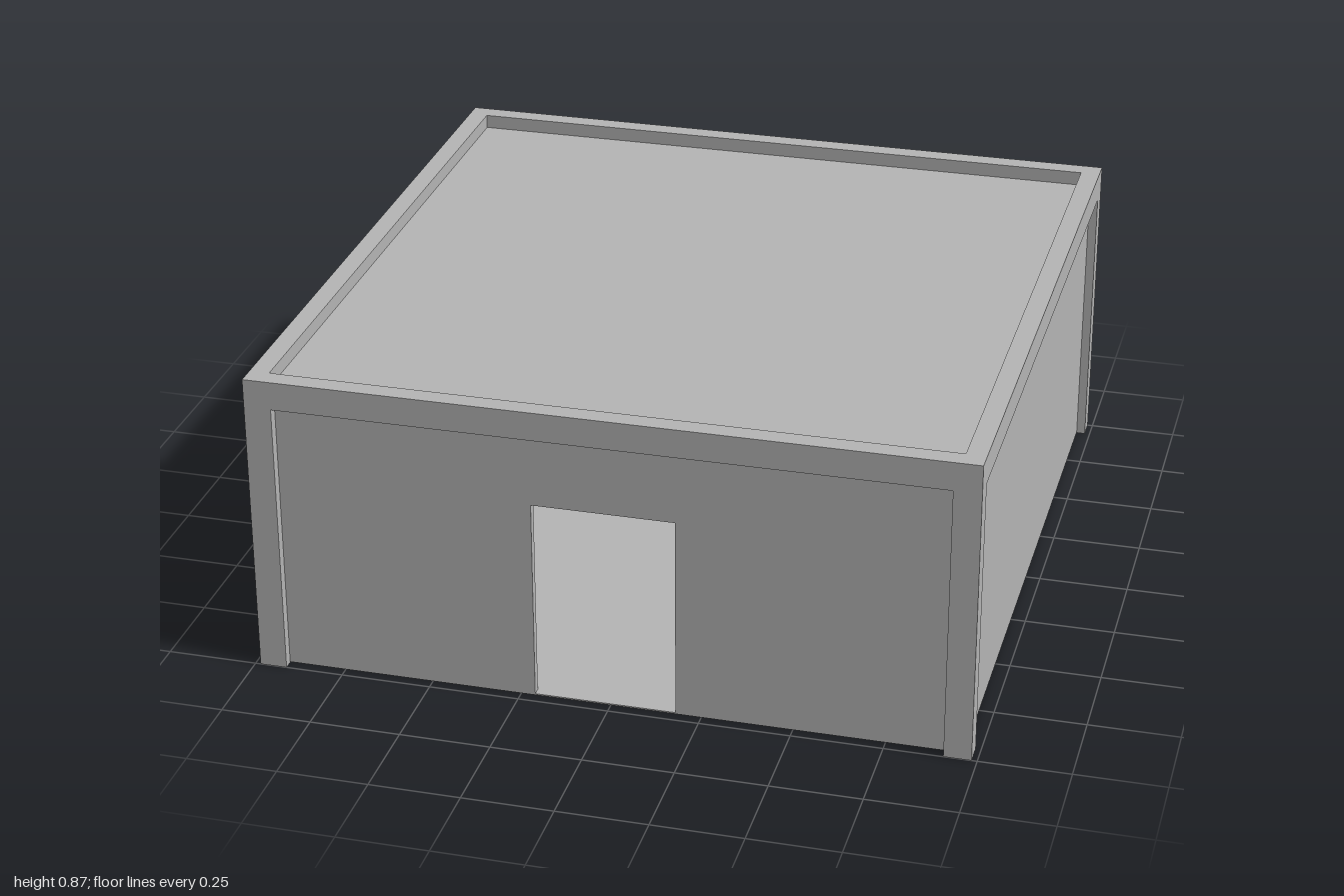
import * as THREE from 'three';

const HX = 0.985, HZ = 1, TOP = 0.865;   // outer half sizes and height
const BEAM_Y = 0.785;                    // underside of the ring beam
const WX = 0.96, WZ = 0.972;             // outer faces of the recessed walls
const T = 0.024;                         // wall thickness
const FLOOR = 0.006;

export function createModel() {
  const group = new THREE.Group();
  const concrete = new THREE.MeshStandardMaterial({ color: 0xb4b4b4 });
  concrete.name = 'concrete grey';

  const add = (name, geometry) => {
    const mesh = new THREE.Mesh(geometry, concrete);
    mesh.name = name;
    group.add(mesh);
    return mesh;
  };
  // Box given by its lower and upper corners
  const box = (name, x0, x1, y0, y1, z0, z1) =>
    add(name, new THREE.BoxGeometry(x1 - x0, y1 - y0, z1 - z0)
      .translate((x0 + x1) / 2, (y0 + y1) / 2, (z0 + z1) / 2));
  const rect = (path, x, z) =>
    path.moveTo(-x, -z).lineTo(x, -z).lineTo(x, z).lineTo(-x, z).closePath();

  // Floor and sunken flat roof
  box('floor', -WX, WX, 0.002, FLOOR, -WZ, WZ);
  box('roof', -0.93, 0.93, 0.819, 0.825, -0.945, 0.945);

  // Ring beam that also forms the parapet
  const ring = rect(new THREE.Shape(), HX, HZ);
  ring.holes.push(rect(new THREE.Path(), 0.93, 0.945));
  add('ringBeam', new THREE.ExtrudeGeometry(ring, { depth: TOP - BEAM_Y, bevelEnabled: false })
    .rotateX(-Math.PI / 2).translate(0, BEAM_Y, 0));

  // Corner pillars
  for (const sx of [-1, 1]) for (const sz of [-1, 1]) {
    const pillar = add('cornerPillar', new THREE.BoxGeometry(0.075, BEAM_Y, 0.06));
    pillar.position.set(sx * (HX - 0.0375), BEAM_Y / 2, sz * (HZ - 0.03));
  }

  // Closed side walls
  box('leftWall', WX - T, WX, FLOOR, BEAM_Y, -WZ, WZ);
  box('rightWall', -WX, -WX + T, FLOOR, BEAM_Y, -WZ, WZ);

  // Front and back walls, each outlined around a doorway
  const doorWall = (name, d0, d1, z) => {
    const w = WX - T, h = 0.58;
    const shape = new THREE.Shape([
      [-w, FLOOR], [d0, FLOOR], [d0, h], [d1, h], [d1, FLOOR],
      [w, FLOOR], [w, BEAM_Y], [-w, BEAM_Y],
    ].map(([x, y]) => new THREE.Vector2(x, y)));
    add(name, new THREE.ExtrudeGeometry(shape, { depth: T, bevelEnabled: false })
      .translate(0, 0, z));
  };
  doorWall('frontWall', -0.21, 0.18, WZ - T);
  doorWall('backWall', -0.63, -0.24, -WZ);

  return group;
}
